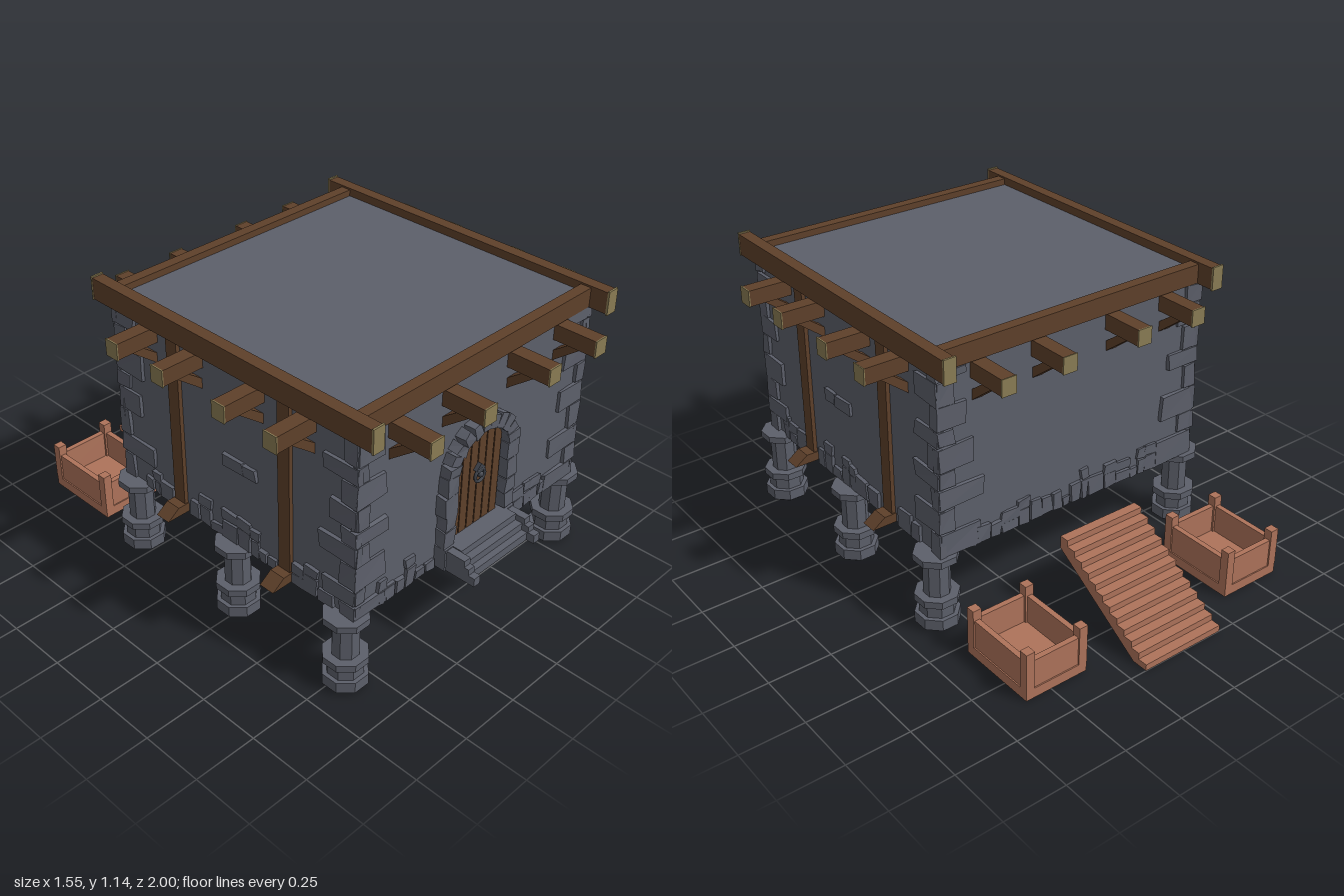
import * as THREE from 'three';

const mat = (name, color) => {
  const m = new THREE.MeshStandardMaterial({ color });
  m.name = name;
  return m;
};

export function createModel() {
  const stoneMat = mat('stone', 0x5c5f6a);
  const wallMat = mat('wall stone', 0x5c5f6a);
  wallMat.side = THREE.DoubleSide;
  const woodMat = mat('dark wood', 0x5e402a);
  const endMat = mat('cut wood', 0x8a7c54);
  const gapMat = mat('door gap', 0x2a1c14);
  const copperMat = mat('red wood', 0xae735a);
  const ironMat = mat('iron', 0x3f434b);

  const H = 0.595, CZ = 0.225, BOTTOM = 0.31, TOP = 1.1;
  const model = new THREE.Group();
  model.name = 'stiltHouse';

  // Small seeded generator for the irregular masonry
  let seed = 11;
  const rnd = (a, b) => {
    seed = (seed * 16807) % 2147483647;
    return a + (b - a) * (seed / 2147483647);
  };

  const add = (parent, name, geo, m, x = 0, y = 0, z = 0) => {
    const mesh = new THREE.Mesh(geo, m);
    mesh.name = name;
    mesh.position.set(x, y, z);
    parent.add(mesh);
    return mesh;
  };
  // Box given by its minimum and maximum corners
  const box = (parent, name, m, x0, x1, y0, y1, z0, z1) =>
    add(parent, name, new THREE.BoxGeometry(x1 - x0, y1 - y0, z1 - z0), m,
      (x0 + x1) / 2, (y0 + y1) / 2, (z0 + z1) / 2);
  // Outline of points extruded across x; the outline's x becomes z
  const prism = (parent, name, m, pts, width, x = 0) => {
    const shape = new THREE.Shape(pts.map(p => new THREE.Vector2(p[0], p[1])));
    const geo = new THREE.ExtrudeGeometry(shape, { depth: width, bevelEnabled: false });
    geo.translate(0, 0, -width / 2).rotateY(-Math.PI / 2);
    return add(parent, name, geo, m, x);
  };
  // Rough block: a box with its corners nudged
  const stone = (parent, name, u, y, w, h, z0 = H - 0.012, z1 = H + 0.013) => {
    const geo = new THREE.BoxGeometry(w, h, z1 - z0).toNonIndexed();
    const j = Array.from({ length: 8 }, () => [rnd(-0.006, 0.006), rnd(-0.004, 0.004), rnd(-0.003, 0.003)]);
    const p = geo.attributes.position;
    for (let i = 0; i < p.count; i++) {
      const k = (p.getX(i) > 0 ? 1 : 0) + (p.getY(i) > 0 ? 2 : 0) + (p.getZ(i) > 0 ? 4 : 0);
      p.setXYZ(i, p.getX(i) + j[k][0], p.getY(i) + j[k][1], p.getZ(i) + j[k][2]);
    }
    geo.computeVertexNormals();
    return add(parent, name, geo, stoneMat, u, y, (z0 + z1) / 2);
  };

  // Four walls, each built facing +z and turned into place
  const walls = ['frontWall', 'leftWall', 'backWall', 'rightWall'].map((name, k) => {
    const g = new THREE.Group();
    g.name = name;
    g.position.z = CZ;
    g.rotation.y = k * Math.PI / 2;
    model.add(g);
    add(g, 'wallFace', new THREE.PlaneGeometry(2 * H, TOP - BOTTOM), wallMat, 0, (TOP + BOTTOM) / 2, H);

    // Projecting roof beams with pale ends, on diagonal braces
    const s = k === 1 ? -1 : 1;
    const spots = k % 2 ? [-0.4, -0.16, 0.145, 0.385] : [-0.43, -0.17, 0.17, 0.43];
    for (const q of spots) {
      const u = q * s;
      box(g, 'roofBeam', woodMat, u - 0.029, u + 0.029, 0.983, 1.046, H - 0.03, 0.768);
      box(g, 'beamEnd', endMat, u - 0.031, u + 0.031, 0.981, 1.048, 0.768, 0.773);
      prism(g, 'beamBrace', woodMat,
        [[H - 0.01, 0.888], [H + 0.115, 0.985], [H + 0.065, 0.985], [H - 0.01, 0.93]], 0.044, u);
    }

    // Side posts with wedge feet, and a pair of loose bricks
    if (k % 2) {
      for (const u of [-0.28, 0.275]) {
        box(g, 'sidePost', woodMat, u - 0.028, u + 0.028, BOTTOM, 1.05, H - 0.015, H + 0.016);
        prism(g, 'postFoot', woodMat,
          [[H - 0.01, 0.31], [0.697, 0.31], [0.645, 0.347], [H - 0.01, 0.347]], 0.066, u);
      }
      stone(g, 'looseBrick', 0.1 * s, 0.66, 0.06, 0.05);
      stone(g, 'looseBrick', 0.015 * s, 0.66, 0.1, 0.05);
    }

    // Uneven footing course along the bottom
    for (let u = -0.49; u < 0.47;) {
      const w = rnd(0.035, 0.085), h = rnd(0.03, 0.085), c = u + w / 2;
      const onPost = k % 2 && (Math.abs(Math.abs(c) - 0.278) < 0.028 + w / 2);
      if (!(k === 0 && Math.abs(c) < 0.22) && !onPost) {
        stone(g, 'footingStone', c, BOTTOM + h / 2, w - 0.006, h);
        if (rnd(0, 1) < 0.45) stone(g, 'footingStone', c, BOTTOM + h + 0.025, w, 0.04);
      }
      u += w;
    }
    return g;
  });

  // Interlocking corner stones, shared by neighbouring walls
  walls.forEach((g, k) => {
    const next = walls[(k + 1) % 4];
    let long = k % 2 === 0;
    for (let y = BOTTOM; y < 1.03;) {
      const h = Math.min(rnd(0.06, 0.115), 1.05 - y);
      const wide = rnd(0.1, 0.15) + (y < 0.55 ? 0.04 : 0), slim = rnd(0.045, 0.08);
      const a = long ? wide : slim, b = long ? slim : wide;
      stone(g, 'cornerStone', 0.605 - a / 2, y + h / 2, a, h - 0.006);
      stone(next, 'cornerStone', -0.605 + b / 2, y + h / 2, b, h - 0.006);
      y += h;
      long = !long;
    }
  });

  // Roof slab and the timber frame around it
  const roof = add(model, 'roof', new THREE.PlaneGeometry(1.18, 1.18), wallMat, 0, TOP, CZ);
  roof.rotation.x = -Math.PI / 2;
  for (const s of [-1, 1]) {
    box(model, 'crossRail', woodMat, -0.585, 0.585, 1.05, 1.126, CZ + s * 0.588 - 0.022, CZ + s * 0.588 + 0.022);
    box(model, 'sideRail', woodMat, s * 0.605 - 0.024, s * 0.605 + 0.024, 1.048, 1.133, CZ - 0.682, CZ + 0.682);
    for (const e of [-1, 1]) {
      box(model, 'railEnd', endMat, s * 0.605 - 0.025, s * 0.605 + 0.025, 1.044, 1.138,
        CZ + e * 0.684 - 0.004, CZ + e * 0.684 + 0.004);
    }
  }

  // Arched door: dark backing with separate planks
  const front = walls[0];
  const arc = x => 0.69 + 0.115 * Math.sqrt(Math.max(0, 1 - (x / 0.135) ** 2));
  const panel = (name, m, x0, x1, z) => {
    const s = new THREE.Shape();
    s.moveTo(x0, 0.4);
    s.lineTo(x1, 0.4);
    for (let i = 0; i <= 8; i++) {
      const x = x1 + (x0 - x1) * i / 8;
      s.lineTo(x, arc(x));
    }
    add(front, name, new THREE.ExtrudeGeometry(s, { depth: 0.008, bevelEnabled: false }), m, 0, 0, z);
  };
  panel('doorBacking', gapMat, -0.133, 0.133, H + 0.001);
  for (let i = 0; i < 6; i++) {
    const x = -0.126 + i * 0.042;
    panel('doorPlank', woodMat, x + 0.002, x + 0.039, H + 0.008);
  }

  // Door surround: jamb blocks and arch stones
  for (const s of [-1, 1]) {
    let y = 0.4;
    for (const h of [0.075, 0.06, 0.085, 0.075]) {
      stone(front, 'jambStone', s * 0.161, y + h / 2, 0.06 + rnd(-0.008, 0.008), h - 0.004, H - 0.02, H + 0.045);
      y += h;
    }
    box(front, 'jambFoot', stoneMat, s * 0.172 - 0.02, s * 0.172 + 0.02, BOTTOM, 0.4, H - 0.02, H + 0.05);
  }
  const count = 11;
  for (let i = 0; i < count; i++) {
    const t = Math.PI * (i + 0.5) / count;
    const b = stone(front, 'archStone', Math.cos(t) * 0.16, 0.692 + Math.sin(t) * 0.142,
      0.056, 0.04, H - 0.02, H + 0.045);
    b.rotation.z = t;
  }

  // Knocker ring with its mount
  add(front, 'knockerRing', new THREE.TorusGeometry(0.026, 0.006, 6, 14), ironMat, 0, 0.618, H + 0.028);
  const mount = box(front, 'knockerMount', ironMat, -0.017, 0.017, 0.627, 0.661, H + 0.012, H + 0.032);
  mount.rotation.z = Math.PI / 4;
  add(front, 'knockerKnob', new THREE.SphereGeometry(0.012, 8, 6), ironMat, 0, 0.622, H + 0.03);

  // Front steps with stepped side blocks
  [[0.31, 0.343, 0.74], [0.343, 0.372, 0.715], [0.372, 0.4, 0.685]].forEach(([y0, y1, z]) => {
    box(front, 'step', stoneMat, -0.152, 0.152, y0, y1, H - 0.02, z);
  });
  for (const s of [-1, 1]) {
    [[0.31, 0.345, 0.772], [0.345, 0.37, 0.745], [0.37, 0.396, 0.725]].forEach(([y0, y1, z]) =>
      box(front, 'stepSide', stoneMat, s * 0.168 - 0.016, s * 0.168 + 0.016, y0, y1, H, z));
  }

  // Six octagonal stilts; each row is bottom y, top y, bottom and top half width
  const tiers = [[0, 0.014, 0.062, 0.08], [0.014, 0.058, 0.08, 0.08], [0.058, 0.11, 0.064, 0.064],
    [0.11, 0.138, 0.08, 0.08], [0.138, 0.285, 0.048, 0.048], [0.285, 0.312, 0.08, 0.08]];
  for (const x of [-0.587, 0.587]) {
    for (const z of [0.775, 0.23, -0.322]) {
      const stilt = new THREE.Group();
      stilt.name = 'stilt';
      stilt.position.set(x, 0, z);
      model.add(stilt);
      for (const [y0, y1, r0, r1] of tiers) {
        const c = 1 / Math.cos(Math.PI / 8);
        const geo = new THREE.CylinderGeometry(r1 * c, r0 * c, y1 - y0, 8).rotateY(Math.PI / 8).toNonIndexed();
        geo.computeVertexNormals();
        add(stilt, 'stiltTier', geo, stoneMat, 0, (y0 + y1) / 2, 0);
      }
    }
  }

  // Rear stair: sawtooth outline, twelve treads
  const n = 12, run = 0.475 / n, rise = 0.31 / n;
  const saw = [[-0.935, 0], [-0.525, 0.26]];
  for (let i = 0; i < n; i++) {
    saw.push([-0.525 - i * run, 0.31 - i * rise], [-0.525 - (i + 1) * run, 0.31 - i * rise]);
  }
  saw.push([-1, 0]);
  prism(model, 'rearStair', copperMat, saw, 0.36);

  // Two open crates with corner posts
  for (const s of [-1, 1]) {
    const crate = new THREE.Group();
    crate.name = 'crate';
    crate.position.set(s * 0.475, 0, -0.703);
    model.add(crate);
    const a = 0.133, b = 0.166;
    box(crate, 'crateFloor', copperMat, -a, a, 0, 0.04, -b, b);
    for (const e of [-1, 1]) {
      box(crate, 'crateSide', copperMat, e * 0.117 - 0.011, e * 0.117 + 0.011, 0.04, 0.155, -b + 0.01, b - 0.01);
      box(crate, 'crateEnd', copperMat, -a + 0.01, a - 0.01, 0.04, 0.155, e * 0.15 - 0.011, e * 0.15 + 0.011);
      for (const f of [-1, 1]) {
        box(crate, 'cratePost', copperMat, e * 0.116 - 0.018, e * 0.116 + 0.018, 0.04, 0.197,
          f * 0.149 - 0.018, f * 0.149 + 0.018);
      }
    }
  }
  return model;
}
